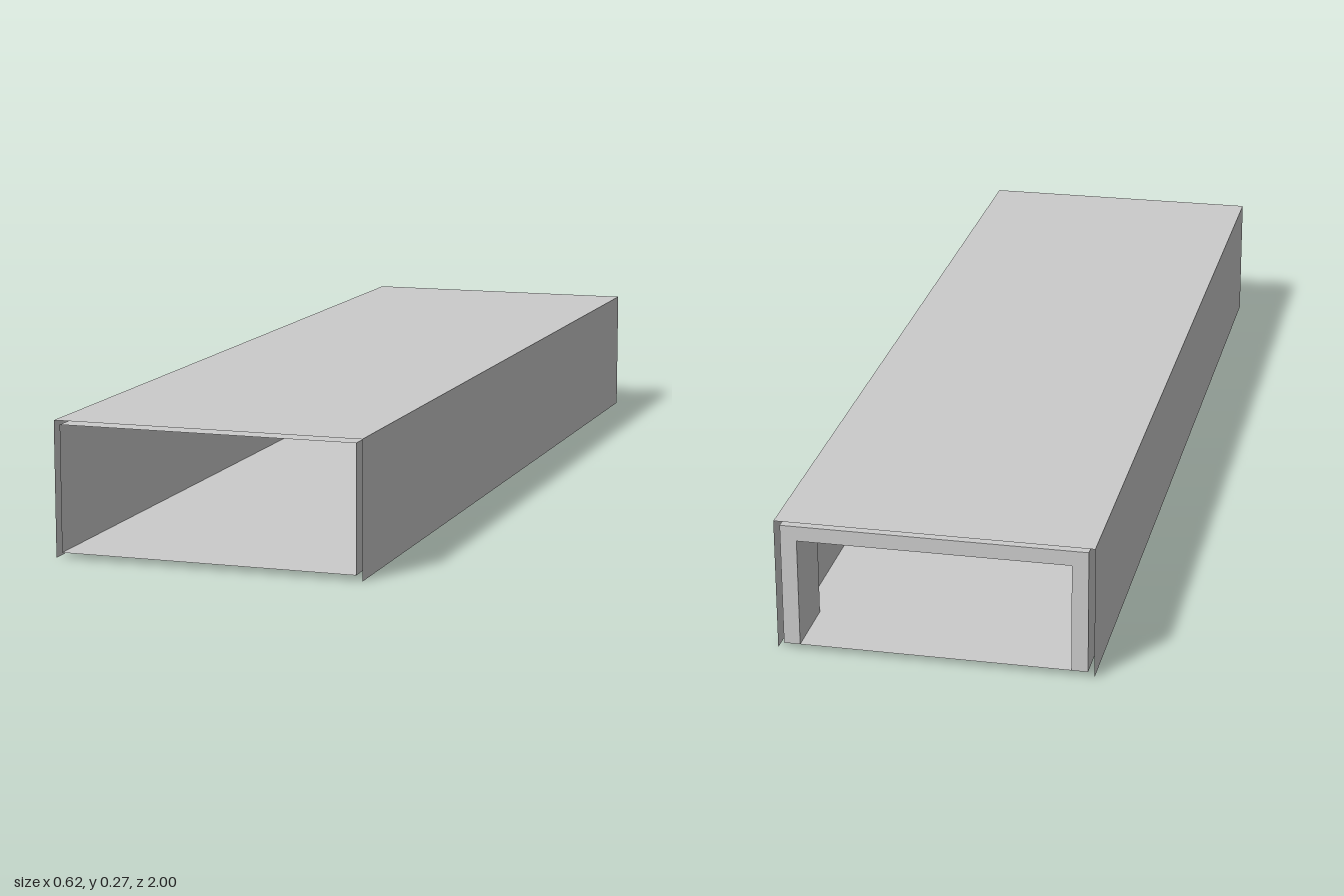
import * as THREE from 'three';

const LENGTH = 2;

export function createModel() {
  const group = new THREE.Group();
  const solid = new THREE.MeshStandardMaterial({ color: 0xcccccc, flatShading: true });
  const sheet = new THREE.MeshStandardMaterial({ color: 0xcccccc, flatShading: true, side: THREE.DoubleSide });

  // Flat paper-thin panel, running the full length
  function panel(name, width, x, y, upright) {
    const geometry = new THREE.PlaneGeometry(width, LENGTH);
    geometry.rotateX(-Math.PI / 2);
    if (upright) geometry.rotateZ(-Math.PI / 2);
    const mesh = new THREE.Mesh(geometry, sheet);
    mesh.name = name;
    mesh.position.set(x, y, 0);
    group.add(mesh);
  }

  // Outer cover: top and two sides, open below
  const outerX = 0.309, outerTop = 0.268;
  panel('coverTop', 2 * outerX, 0, outerTop, false);

  // Inner tube: floor, ceiling and two sides
  const innerX = 0.297, innerTop = 0.26, floorY = 0.011;
  panel('floor', 2 * innerX, 0, floorY, false);
  panel('ceiling', 2 * innerX, 0, innerTop, false);

  for (const [side, s] of [['left', 1], ['right', -1]]) {
    panel(side + 'CoverSide', outerTop, s * outerX, outerTop / 2, true);
    panel(side + 'InnerWall', innerTop - floorY, s * innerX, (innerTop + floorY) / 2, true);
  }

  // Thick arch-shaped frame lining the back opening
  const holeX = 0.265, holeTop = 0.23;
  const arch = new THREE.Shape([
    [-innerX, floorY], [-holeX, floorY], [-holeX, holeTop], [holeX, holeTop],
    [holeX, floorY], [innerX, floorY], [innerX, innerTop], [-innerX, innerTop],
  ].map(([x, y]) => new THREE.Vector2(x, y)));
  const frame = new THREE.Mesh(
    new THREE.ExtrudeGeometry(arch, { depth: 0.14, bevelEnabled: false }), solid);
  frame.name = 'backFrame';
  frame.position.z = -LENGTH / 2;
  group.add(frame);

  return group;
}
